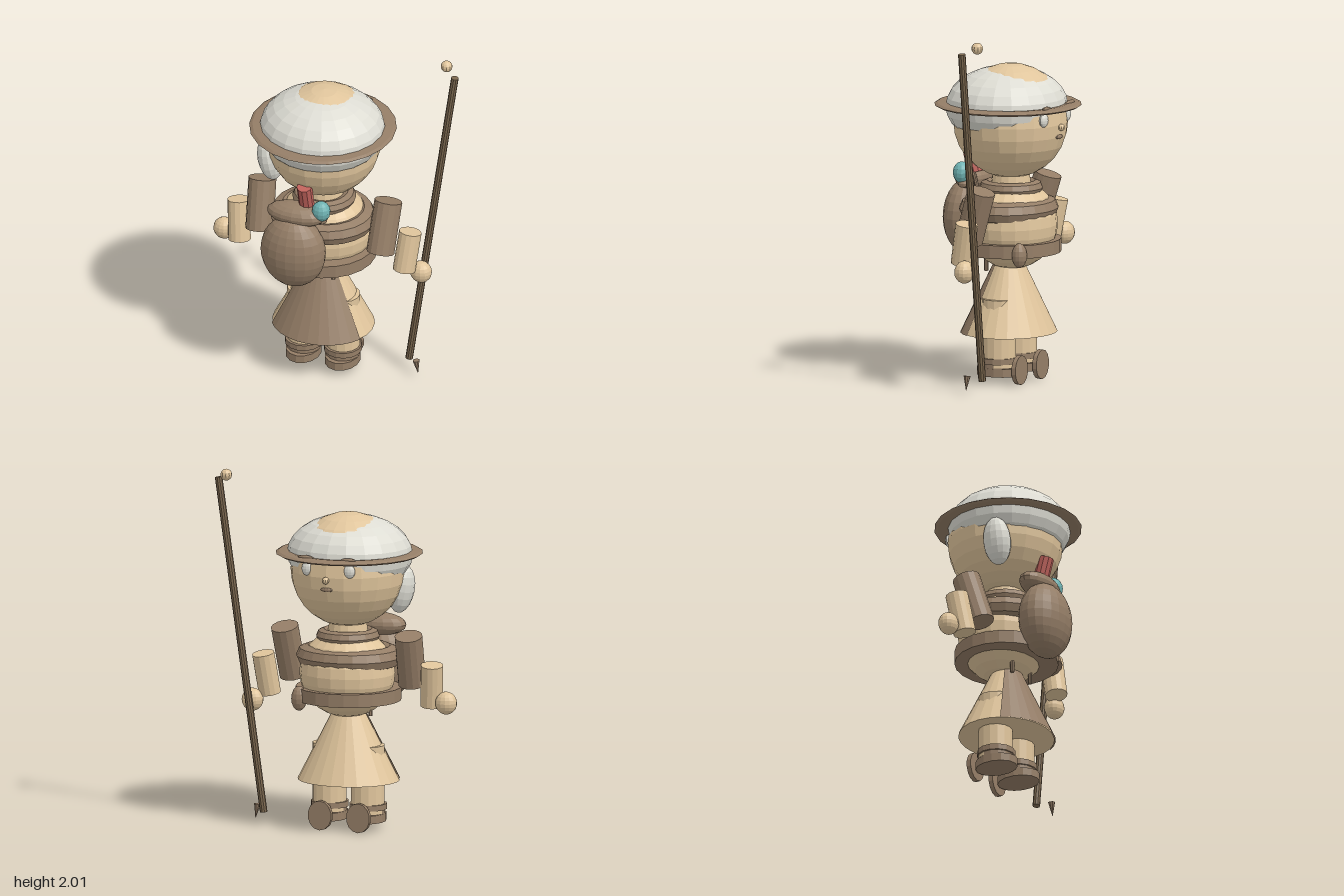
import * as THREE from 'three';

const material = (name, color, side = THREE.FrontSide) => {
  const m = new THREE.MeshStandardMaterial({ color, flatShading: true, side });
  m.name = name;
  return m;
};

export function createModel() {
  const model = new THREE.Group();
  model.name = 'traveller';
  const skin = material('skin', 0xe0c59c);
  const brown = material('brown', 0x957e67);
  const coat = material('coat brown', 0x957e67, THREE.DoubleSide);
  const wood = material('wood', 0x7c684f);
  const white = material('white', 0xdddcd3);
  const red = material('red', 0xc0635c);
  const teal = material('teal', 0x6fb2b2);

  const add = (name, geometry, mat, pos, scale = [1, 1, 1], rot = [0, 0, 0]) => {
    const mesh = new THREE.Mesh(geometry, mat);
    mesh.name = name;
    mesh.position.set(...pos);
    mesh.scale.set(...scale);
    mesh.rotation.set(...rot);
    model.add(mesh);
    return mesh;
  };
  // Ellipsoid from centre and three radii
  const ball = (name, mat, pos, radii, rot, w = 20, h = 14) =>
    add(name, new THREE.SphereGeometry(1, w, h), mat, pos, radii, rot);
  const tube = (name, mat, pos, rTop, rBottom, height, sides = 20, scale, rot) =>
    add(name, new THREE.CylinderGeometry(rTop, rBottom, height, sides), mat, pos, scale, rot);
  // Cylinder running from point a (bottom) to point b (top)
  const rod = (name, mat, a, b, radius, sides = 12) => {
    const from = new THREE.Vector3(...a), to = new THREE.Vector3(...b);
    const dir = to.clone().sub(from);
    const mid = from.clone().add(to).multiplyScalar(0.5);
    const mesh = tube(name, mat, mid.toArray(), radius, radius, dir.length(), sides);
    mesh.quaternion.setFromUnitVectors(new THREE.Vector3(0, 1, 0), dir.normalize());
    return mesh;
  };
  // Horizontal ring with a flattened tube
  const ring = (name, mat, pos, radius, thick, scale) => {
    const g = new THREE.TorusGeometry(radius, thick, 8, 22);
    g.rotateX(Math.PI / 2);
    return add(name, g, mat, pos, scale);
  };
  const cx = -0.053; // body axis

  // Head, hair and hat
  ball('head', skin, [cx, 1.46, -0.018], [0.32, 0.32, 0.32]);
  ball('hair', white, [cx, 1.543, 0.008], [0.352, 0.222, 0.336]);
  ball('hairBun', white, [-0.327, 1.345, 0.1], [0.07, 0.137, 0.08], [0, 0, 0.18], 14, 10);
  ring('hatBrim', brown, [cx, 1.552, 0], 0.352, 0.058, [1, 0.24, 1]);

  // Face, on the -z side
  for (const s of [-1, 1]) {
    ball('eye', white, [cx + s * 0.125, 1.5, -0.302], [0.036, 0.04, 0.022], [0, 0, 0], 12, 8);
    ball('eyebrow', brown, [cx + s * 0.125, 1.565, -0.32], [0.05, 0.014, 0.013], [0, s * 0.08, s * 0.1], 10, 6);
  }
  ball('nose', skin, [cx, 1.447, -0.342], [0.02, 0.02, 0.02], [0, 0, 0], 10, 8);
  ball('mouth', brown, [cx, 1.393, -0.328], [0.036, 0.013, 0.013], [0, 0, 0], 10, 6);

  // Body with collar, chest band and belt
  tube('neck', skin, [cx, 1.12, -0.02], 0.1, 0.12, 0.14, 16);
  ball('torso', skin, [cx, 0.88, -0.03], [0.27, 0.25, 0.245]);
  ring('collar', brown, [cx, 1.085, -0.02], 0.135, 0.042);
  ring('chestBand', brown, [cx, 0.97, -0.005], 0.228, 0.065, [1.02, 0.95, 0.92]);
  tube('belt', brown, [cx, 0.763, -0.01], 0.295, 0.295, 0.074, 22, [1, 1, 0.97]);
  ball('beltPouch', brown, [0.165, 0.745, -0.2], [0.045, 0.07, 0.042], [0, 0, 0], 12, 8);

  // Skirt with a coat panel over its backpack side
  tube('skirt', skin, [cx, 0.472, -0.01], 0.085, 0.288, 0.396, 24, [1, 1, 0.9]);
  const panel = new THREE.CylinderGeometry(0.09, 0.293, 0.396, 10, 1, true, -1.1, 2.2);
  add('coatPanel', panel, coat, [cx, 0.472, -0.008], [1, 1, 0.9]);
  for (const x of [-0.145, 0.04])
    tube('coatStrap', brown, [x, 0.655, 0.085], 0.012, 0.012, 0.07, 8);

  // Legs and boots
  for (const s of [-1, 1]) {
    const x = cx + s * 0.115;
    tube('leg', skin, [x, 0.285, -0.01], 0.095, 0.095, 0.38, 14);
    tube('bootCuff', brown, [x, 0.131, -0.005], 0.106, 0.106, 0.032, 14);
    tube('boot', brown, [x, 0.1, -0.005], 0.096, 0.096, 0.035, 14);
    tube('bootSole', brown, [x, 0.068, -0.003], 0.097, 0.097, 0.046, 14, [1, 1, 1.27]);
    tube('toeCap', brown, [x, 0.083, -0.142], 0.083, 0.083, 0.026, 14, [0.85, 1, 1], [Math.PI / 2, 0, 0]);
  }

  // Arms
  const arms = [
    { side: 'right', shoulder: [-0.425, 1.11, -0.04], elbow: [-0.412, 0.828, 0.045],
      upper: [-0.558, 0.952, -0.02], wrist: [-0.538, 0.718, 0.02], hand: [-0.643, 0.745, -0.02] },
    { side: 'left', shoulder: [0.317, 1.115, -0.045], elbow: [0.302, 0.828, 0.045],
      upper: [0.452, 0.95, -0.03], wrist: [0.43, 0.722, 0.013], hand: [0.508, 0.69, -0.048] },
  ];
  for (const a of arms) {
    rod(a.side + 'Sleeve', brown, a.elbow, a.shoulder, 0.078, 14);
    rod(a.side + 'Forearm', skin, a.wrist, a.upper, 0.063, 14);
    ball(a.side + 'Hand', skin, a.hand, [0.062, 0.064, 0.055], [0, 0, 0], 14, 10);
  }

  // Backpack and the things tied to it
  ball('backpack', brown, [-0.123, 0.89, 0.288], [0.187, 0.218, 0.133]);
  ball('backpackRoll', brown, [-0.12, 1.112, 0.25], [0.17, 0.065, 0.085], [0, 0, 0], 16, 10);
  tube('redFlask', red, [-0.068, 1.225, 0.238], 0.043, 0.043, 0.16, 10, [1, 1, 1], [0.27, 0, 0]);
  ball('tealGourd', teal, [0.028, 1.156, 0.25], [0.053, 0.061, 0.048], [0, 0, 0], 12, 8);
  ball('gourdKnot', brown, [0.03, 1.095, 0.24], [0.03, 0.025, 0.03], [0, 0, 0], 10, 6);
  rod('backpackStrap', brown, [0.0, 1.05, 0.16], [0.0, 1.16, 0.19], 0.012, 8);

  // Walking staff with a knob and a spike
  rod('staff', wood, [0.416, 0.07, -0.108], [0.678, 1.945, -0.13], 0.021, 10);
  ball('staffKnob', skin, [0.608, 1.972, -0.188], [0.033, 0.033, 0.033], [0, 0, 0], 10, 8);
  add('staffSpike', new THREE.ConeGeometry(0.02, 0.085, 8), brown, [0.485, 0.06, -0.048], [1, 1, 1], [Math.PI, 0, -0.14]);

  return model;
}
